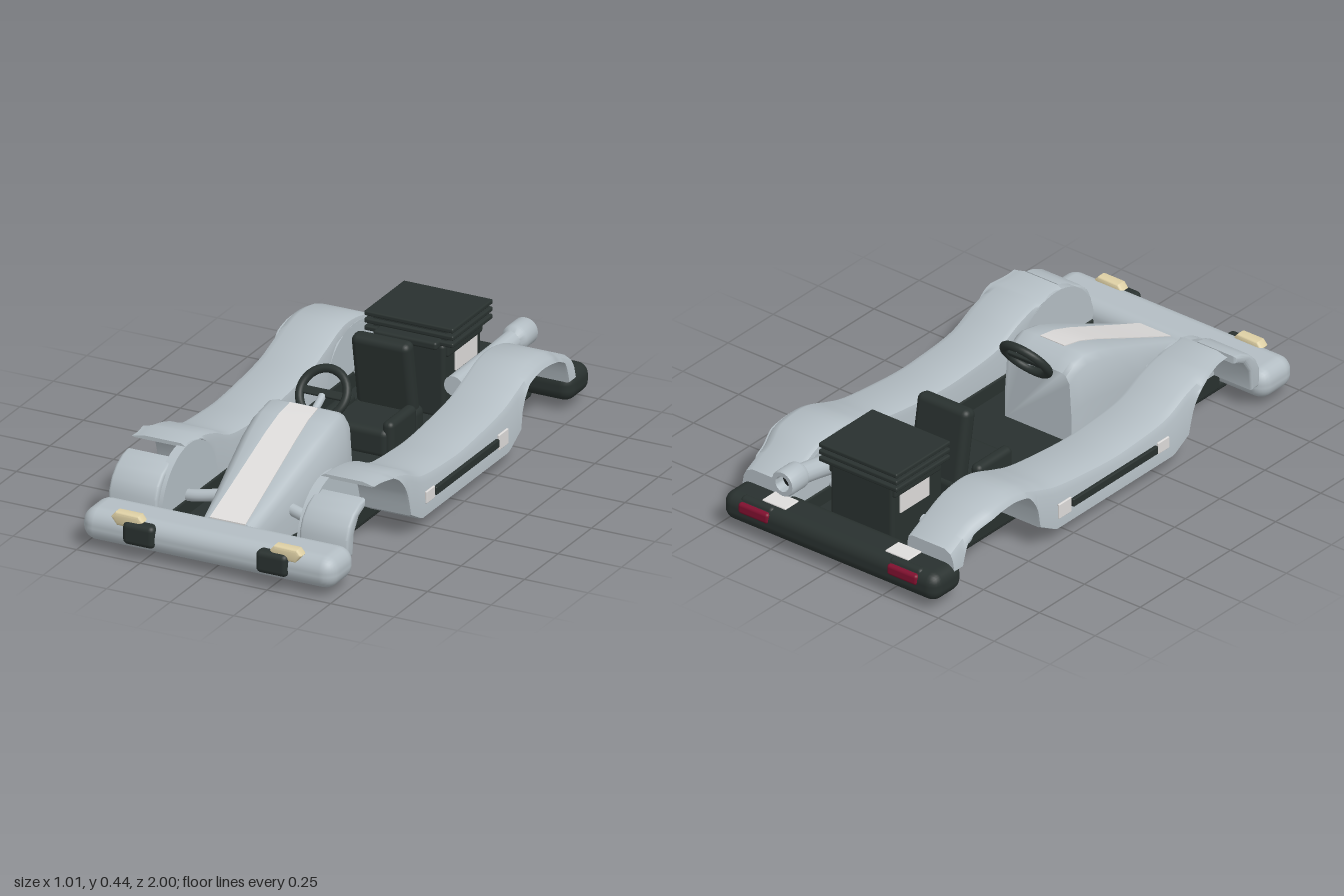
import * as THREE from 'three';
import { toCreasedNormals } from 'three/addons/utils/BufferGeometryUtils.js';
import { RoundedBoxGeometry } from 'three/addons/geometries/RoundedBoxGeometry.js';

const mat = (name, color) => {
  const m = new THREE.MeshStandardMaterial({ color });
  m.name = name;
  return m;
};

// Solid through closed rings; rings run from +z to -z, each counter-clockwise seen from +z
function loft(rings, crease = 0.6) {
  const n = rings[0].length, pos = rings.flat(2), idx = [];
  for (let i = 0; i < rings.length - 1; i++)
    for (let j = 0; j < n; j++) {
      const a = i * n + j, b = i * n + (j + 1) % n, d = a + n, c = b + n;
      idx.push(a, d, b, b, d, c);
    }
  const last = (rings.length - 1) * n;
  for (let j = 1; j < n - 1; j++) idx.push(0, j, j + 1, last, last + j + 1, last + j);
  const g = new THREE.BufferGeometry();
  g.setAttribute('position', new THREE.Float32BufferAttribute(pos, 3));
  g.setIndex(idx);
  return toCreasedNormals(g, crease);
}

// Flat outline extruded along z with rounded edges, from z = 0 to z = depth
function extrude(points, depth, bevel) {
  const shape = new THREE.Shape(points.map(p => new THREE.Vector2(...p)));
  const g = new THREE.ExtrudeGeometry(shape, {
    depth: depth - 2 * bevel, bevelEnabled: bevel > 0, bevelSize: bevel, bevelThickness: bevel,
    bevelOffset: -bevel, bevelSegments: 3,
  });
  g.translate(0, 0, bevel);
  return toCreasedNormals(g, 0.6);
}

// Outline of [z, y] points extruded from x0 to x1
const sideExtrude = (points, x0, x1, bevel) =>
  extrude(points.map(([z, y]) => [-z, y]), x1 - x0, bevel).rotateY(Math.PI / 2).translate(x0, 0, 0);

// Lower edge of the side pod, with the two wheel arches cut out
function podBottom(z, top) {
  for (const [c, skin] of [[0.6, 0.014], [-0.63, 0.035]]) {
    const d = z - c;
    if (Math.abs(d) < 0.2) return Math.min(0.1 + Math.sqrt(0.04 - d * d), top - skin);
  }
  if (z < -0.8) return 0.12;
  const edge = Math.min(0.4 - z, z + 0.43);
  return 0.1 - 0.05 * THREE.MathUtils.clamp(edge / 0.09, 0, 1);
}

export function createModel() {
  const root = new THREE.Group();
  root.name = 'kart';
  const silver = mat('silver paint', 0xb3bdc3), dark = mat('dark rubber', 0x29312f),
    pale = mat('pale trim', 0xdddbda), cream = mat('headlight cream', 0xddcfa4),
    red = mat('tail light red', 0x80102f), black = mat('black bore', 0x171b1c);

  const add = (name, geo, material, x = 0, y = 0, z = 0, rx = 0) => {
    const m = new THREE.Mesh(geo, material);
    m.name = name;
    m.position.set(x, y, z);
    m.rotation.x = rx;
    root.add(m);
    return m;
  };
  const box = (name, material, w, h, d, x, y, z, r = 0.01, rx = 0) =>
    add(name, new RoundedBoxGeometry(w, h, d, 3, r), material, x, y, z, rx);
  const tube = (name, material, pts, r) => add(name, new THREE.TubeGeometry(
    new THREE.CatmullRomCurve3(pts.map(p => new THREE.Vector3(...p))), 24, r, 14), material);

  // Floor and bumpers
  box('floor', dark, 0.58, 0.036, 1.78, 0, 0.018, -0.02, 0.015);
  box('frontBumper', silver, 1.0, 0.122, 0.185, 0, 0.089, 0.893, 0.055);
  box('rearBumper', dark, 0.96, 0.11, 0.165, 0, 0.091, -0.912, 0.045);

  // Side pod top line, as z and y
  const topLine = new THREE.SplineCurve([
    [0.63, 0.305], [0.5, 0.293], [0.4, 0.265], [0.28, 0.215], [0.1, 0.197], [-0.05, 0.196],
    [-0.3, 0.222], [-0.42, 0.255], [-0.52, 0.29], [-0.6, 0.3], [-0.7, 0.285], [-0.8, 0.24], [-0.88, 0.2],
  ].map(p => new THREE.Vector2(...p))).getPoints(110);
  const outerLine = z => 0.497 - 0.02 * THREE.MathUtils.smoothstep(z, 0.48, 0.6)
    - 0.022 * THREE.MathUtils.smoothstep(-z, 0.68, 0.78);
  const headlight = [[-0.063, 0.004], [-0.04, -0.025], [0.04, -0.025], [0.063, 0.004], [0.045, 0.025], [-0.045, 0.025]];

  for (const s of [1, -1]) {
    const side = s > 0 ? 'left' : 'right';
    const rings = topLine.map(({ x: z, y: t }) => {
      const b = podBottom(z, t), o = outerLine(z);
      const ring = [[0.265, b], [o - 0.01, b], [o, b + 0.004], [o - 0.007, Math.max(b + 0.005, t - 0.036)],
        [o - 0.018, Math.max(b + 0.007, t - 0.014)], [o - 0.045, t], [0.285, t],
        [0.27, Math.max(b + 0.006, t - 0.008)], [0.265, Math.max(b + 0.004, t - 0.03)]].map(([x, y]) => [s * x, y, z]);
      return s > 0 ? ring : ring.reverse();
    });
    add(side + 'SidePod', loft(rings), silver);

    // Inner walls of the wheel wells
    for (const [c, h] of [[0.6, 0.207], [-0.63, 0.185]]) {
      const dome = Array.from({ length: 25 }, (_, i) => {
        const a = Math.PI * i / 24;
        return [c + 0.21 * Math.cos(a), 0.09 + h * Math.sin(a)];
      });
      const [x0, x1] = s > 0 ? [0.265, 0.3] : [-0.3, -0.265];
      add(side + 'WheelWell', sideExtrude(dome, x0, x1, 0), silver);
    }

    // Front half of the front fender
    const fender = [[0.82, 0.09], [0.82, 0.16], [0.8, 0.205], [0.765, 0.24], [0.72, 0.262], [0.68, 0.27],
      [0.68, 0.24], [0.73, 0.22], [0.765, 0.17], [0.775, 0.09]];
    add(side + 'FrontFender', sideExtrude(fender, s > 0 ? 0.28 : -0.472, s > 0 ? 0.472 : -0.28, 0.012), silver);

    // Side trim: dark strip between two pale end plates
    box(side + 'TrimStrip', dark, 0.016, 0.032, 0.47, s * 0.497, 0.122, -0.02, 0.005);
    box(side + 'TrimFrontPlate', pale, 0.009, 0.045, 0.062, s * 0.496, 0.122, 0.25, 0.003);
    box(side + 'TrimRearPlate', pale, 0.009, 0.058, 0.07, s * 0.496, 0.12, -0.295, 0.003);

    // Chassis rail and axle stubs
    box(side + 'Rail', dark, 0.04, 0.075, 1.66, s * 0.28, 0.058, -0.02, 0.008);
    tube(side + 'FrontAxle', silver, [[s * 0.13, 0.13, 0.6], [s * 0.24, 0.11, 0.615], [s * 0.33, 0.1, 0.605]], 0.022);
    tube(side + 'RearAxle', silver, [[s * 0.12, 0.1, -0.64], [s * 0.22, 0.1, -0.64], [s * 0.33, 0.1, -0.635]], 0.02);
    for (const z of [0.605, -0.635]) {
      const hub = add(side + 'Hub', new THREE.CylinderGeometry(0.026, 0.026, 0.02, 16), silver, s * 0.33, 0.1, z);
      hub.rotation.z = Math.PI / 2;
    }

    // Bumper pads and lights
    box(side + 'BumperPad', dark, 0.125, 0.085, 0.06, s * 0.262, 0.098, 0.97, 0.02);
    add(side + 'Headlight', extrude(headlight, 0.045, 0.01), cream, s * 0.312, 0.141, 0.94);
    box(side + 'TailLightMount', dark, 0.15, 0.05, 0.04, s * 0.333, 0.122, -0.962, 0.018);
    box(side + 'TailLight', red, 0.135, 0.042, 0.032, s * 0.333, 0.11, -0.984, 0.012);
    box(side + 'BumperBracket', pale, 0.105, 0.012, 0.075, s * 0.275, 0.145, -0.915, 0.004);
    box(side + 'EnginePlate', pale, 0.008, 0.1, 0.16, s * 0.142, 0.235, -0.69, 0.003);
  }

  // Nose cone: z, top half width, bottom half width, top height
  const nose = [[0.82, 0.08, 0.11, 0.14], [0.7, 0.088, 0.128, 0.19], [0.56, 0.1, 0.152, 0.25],
    [0.42, 0.115, 0.17, 0.31], [0.33, 0.122, 0.174, 0.343], [0.25, 0.122, 0.17, 0.358],
    [0.205, 0.118, 0.16, 0.34], [0.172, 0.108, 0.148, 0.305]];
  add('noseCone', loft(nose.map(([z, a, b, t]) => {
    const half = [[b, 0.03], [b, t * 0.5], [(a + b) / 2 + 0.012, t - 0.035], [a + 0.016, t - 0.009], [a, t - 0.001], [0.07, t]];
    return [...half, ...half.map(([x, y]) => [-x, y]).reverse()].map(([x, y]) => [x, y, z]);
  }), 0.75), silver);
  add('noseStripe', loft(nose.slice(0, 6).map(([z, , , t], i) => {
    const w = 0.07 - 0.003 * i;
    return [[-w, t - 0.004], [w, t - 0.004], [w, t + 0.003], [-w, t + 0.003]].map(([x, y]) => [x, y, z]);
  }), 0.4), pale);

  // Steering wheel, leaning back at the top
  const steering = new THREE.Group();
  steering.name = 'steeringWheel';
  steering.position.set(0, 0.35, 0.105);
  steering.rotation.x = -0.63;
  const rim = new THREE.Mesh(new THREE.TorusGeometry(0.09, 0.016, 12, 36), dark);
  rim.name = 'rim';
  const spoke = new THREE.Mesh(new RoundedBoxGeometry(0.17, 0.03, 0.014, 2, 0.005), dark);
  spoke.name = 'spoke';
  steering.add(rim, spoke);
  root.add(steering);
  tube('steeringColumn', silver, [[0, 0.343, 0.11], [0, 0.32, 0.15], [0, 0.29, 0.21]], 0.014);

  // Seat
  box('seatBase', dark, 0.25, 0.11, 0.21, 0, 0.08, -0.235, 0.025);
  for (const s of [1, -1]) box('seatBolster', dark, 0.045, 0.14, 0.19, s * 0.12, 0.095, -0.235, 0.02);
  box('seatBack', dark, 0.23, 0.31, 0.062, 0, 0.237, -0.36, 0.025, 0.17);
  box('seatBackFoot', dark, 0.25, 0.1, 0.08, 0, 0.08, -0.38, 0.025);

  // Engine with cooling fins
  box('engineBlock', dark, 0.28, 0.28, 0.28, 0, 0.17, -0.67, 0.015);
  box('engineFrontPlate', dark, 0.25, 0.03, 0.08, 0, 0.313, -0.54, 0.01);
  box('engineHead', dark, 0.3, 0.11, 0.26, 0, 0.315, -0.675, 0.01);
  for (const y of [0.315, 0.343, 0.371]) box('coolingFin', dark, 0.352, 0.018, 0.3, 0, y, -0.68, 0.006);

  // Exhaust pipe and open tip
  tube('exhaustPipe', silver, [[0.21, 0.195, -0.47], [0.215, 0.2, -0.6], [0.235, 0.22, -0.74], [0.247, 0.235, -0.87]], 0.038);
  const cap = add('exhaustPipeEnd', new THREE.CircleGeometry(0.038, 16), silver, 0.21, 0.195, -0.47);
  cap.rotation.y = 0.04;
  const tip = [[0.03, -0.02], [0.048, 0], [0.05, 0.008], [0.05, 0.082], [0.046, 0.09], [0.03, 0.09], [0.028, 0.084], [0.028, 0.04]];
  add('exhaustTip', toCreasedNormals(new THREE.LatheGeometry(tip.map(p => new THREE.Vector2(...p)), 24), 0.6),
    silver, 0.248, 0.235, -0.85, -Math.PI / 2);
  const bore = add('exhaustBore', new THREE.CircleGeometry(0.029, 20), black, 0.248, 0.235, -0.9);
  bore.rotation.y = Math.PI;

  return root;
}
